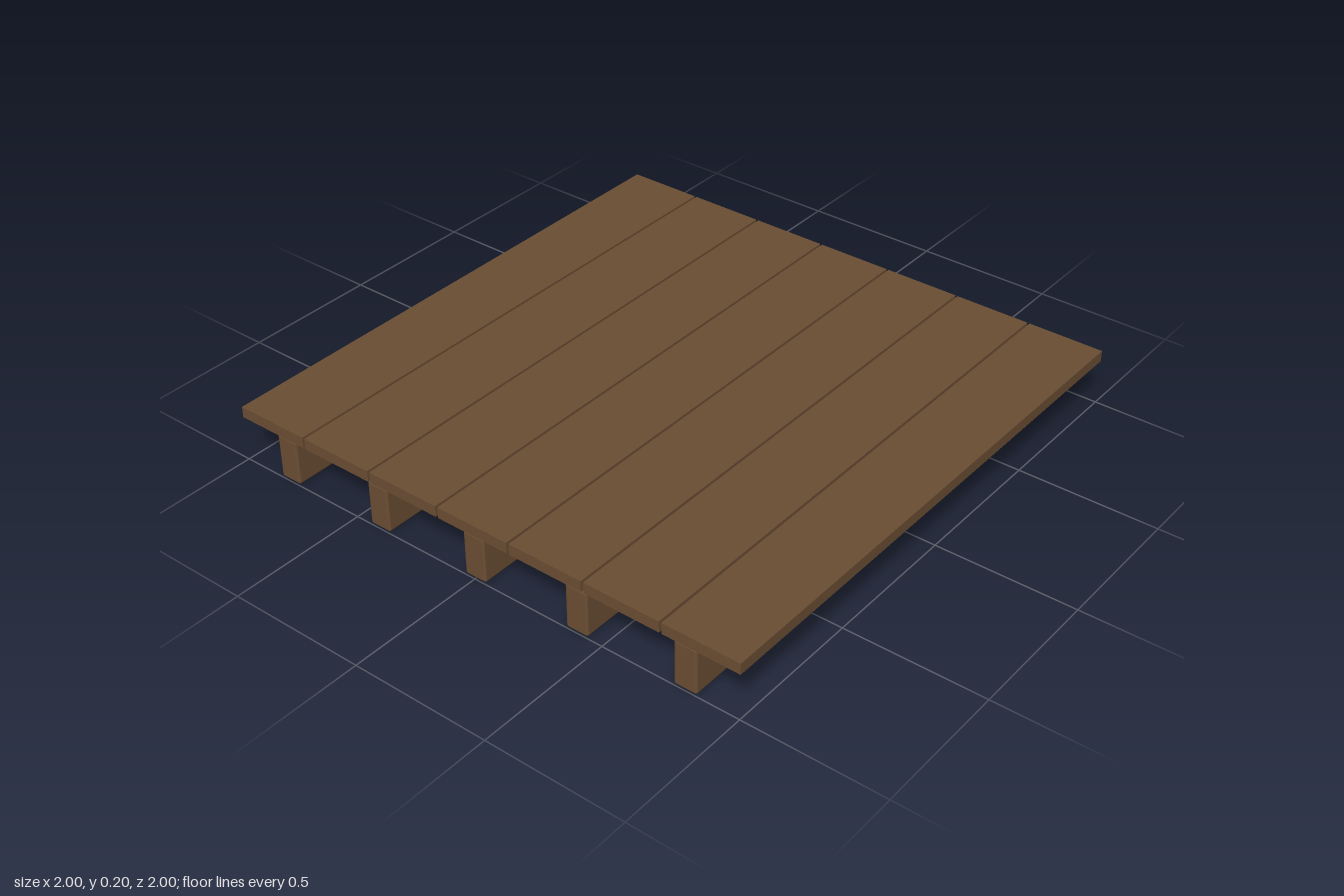
import * as THREE from 'three';
import { RoundedBoxGeometry } from 'three/addons/geometries/RoundedBoxGeometry.js';

export function createModel() {
  const model = new THREE.Group();
  model.name = 'woodenPlatform';
  const wood = new THREE.MeshStandardMaterial({ color: 0x6b4e34 });
  wood.name = 'brown wood';

  const add = (name, geometry, y, z) => {
    const mesh = new THREE.Mesh(geometry, wood);
    mesh.name = name;
    mesh.position.set(0, y, z);
    model.add(mesh);
  };

  // Deck: seven sharp-edged planks with narrow gaps
  const plankCount = 7, gap = 0.009, deckBottom = 0.165, plankHeight = 0.04;
  const plankDepth = (2 - gap * (plankCount - 1)) / plankCount;
  const plank = new THREE.BoxGeometry(2, plankHeight, plankDepth);
  for (let i = 0; i < plankCount; i++) {
    add(`plank${i + 1}`, plank, deckBottom + plankHeight / 2,
      (i - (plankCount - 1) / 2) * (plankDepth + gap));
  }

  // Joists: five slightly rounded beams running under the planks
  const joist = new RoundedBoxGeometry(1.994, deckBottom, 0.083, 2, 0.009);
  for (let i = 0; i < 5; i++) {
    add(`joist${i + 1}`, joist, deckBottom / 2, (i - 2) * 0.402);
  }
  return model;
}
